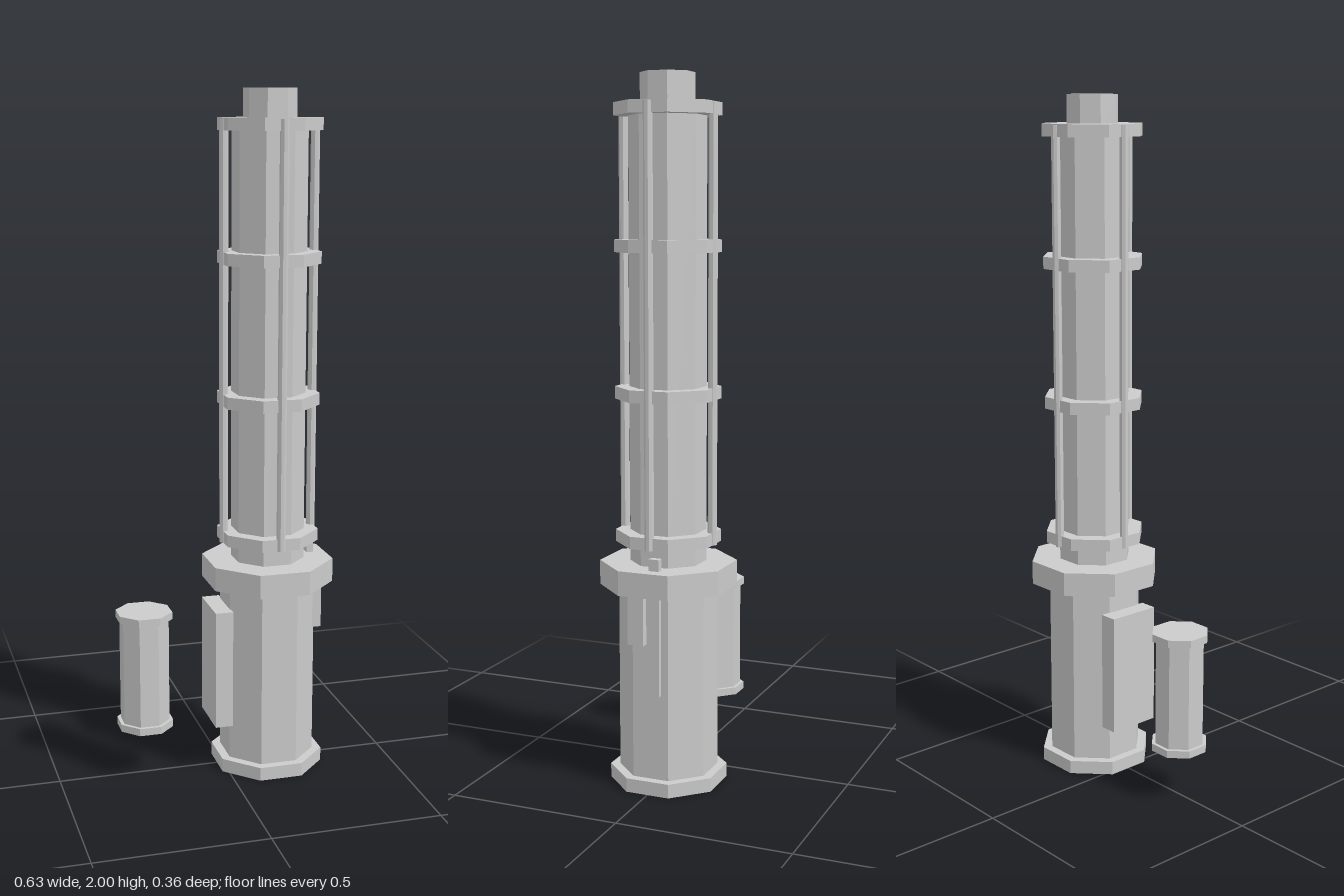
import * as THREE from 'three';

const material = new THREE.MeshStandardMaterial({ color: 0xcccccc, flatShading: true });

// Octagonal prism with flats facing the axes; a = half width across flats
function octagon(name, a, y0, y1, x = 0, z = 0) {
  const r = a / Math.cos(Math.PI / 8);
  const geometry = new THREE.CylinderGeometry(r, r, y1 - y0, 8).rotateY(Math.PI / 8);
  const mesh = new THREE.Mesh(geometry, material);
  mesh.name = name;
  mesh.position.set(x, (y0 + y1) / 2, z);
  return mesh;
}

// Box given by its extents
function box(name, [x0, x1], [y0, y1], [z0, z1]) {
  const mesh = new THREE.Mesh(new THREE.BoxGeometry(x1 - x0, y1 - y0, z1 - z0), material);
  mesh.name = name;
  mesh.position.set((x0 + x1) / 2, (y0 + y1) / 2, (z0 + z1) / 2);
  return mesh;
}

export function createModel() {
  const model = new THREE.Group();

  // Column: handle below, caged tube above
  const column = new THREE.Group();
  column.name = 'column';
  column.position.x = 0.137;
  column.add(
    octagon('foot', 0.155, 0, 0.04),
    octagon('handle', 0.13, 0.04, 0.575),
    octagon('collar', 0.18, 0.575, 0.645),
    octagon('innerTube', 0.1, 0.645, 1.9),
    octagon('tip', 0.07, 1.9, 2),
  );

  // Rings around the tube
  for (const y of [0.7, 1.515, 1.108, 1.885]) {
    column.add(octagon('ring', 0.138, y, y + 0.035));
  }

  // Four rods joining the rings
  for (let i = 0; i < 4; i++) {
    const angle = (i * Math.PI) / 2;
    column.add(octagon('rod', 0.012, 0.7, 1.917, 0.134 * Math.cos(angle), 0.134 * Math.sin(angle)));
  }

  // Side fittings on the handle
  column.add(
    box('sidePlate', [-0.18, -0.127], [0.15, 0.507], [-0.08, 0.08]),
    box('switchPlate', [0.12, 0.151], [0.43, 0.57], [0.012, 0.06]),
    box('lever', [0.125, 0.145], [0.287, 0.678], [-0.033, -0.002]),
  );

  // Separate canister beside the column
  const canister = new THREE.Group();
  canister.name = 'canister';
  canister.position.x = -0.24;
  canister.add(
    octagon('canisterBody', 0.068, 0.172, 0.486),
    octagon('canisterBottomCap', 0.078, 0.15, 0.172),
    octagon('canisterTopCap', 0.078, 0.486, 0.508),
  );

  model.add(column, canister);
  return model;
}
